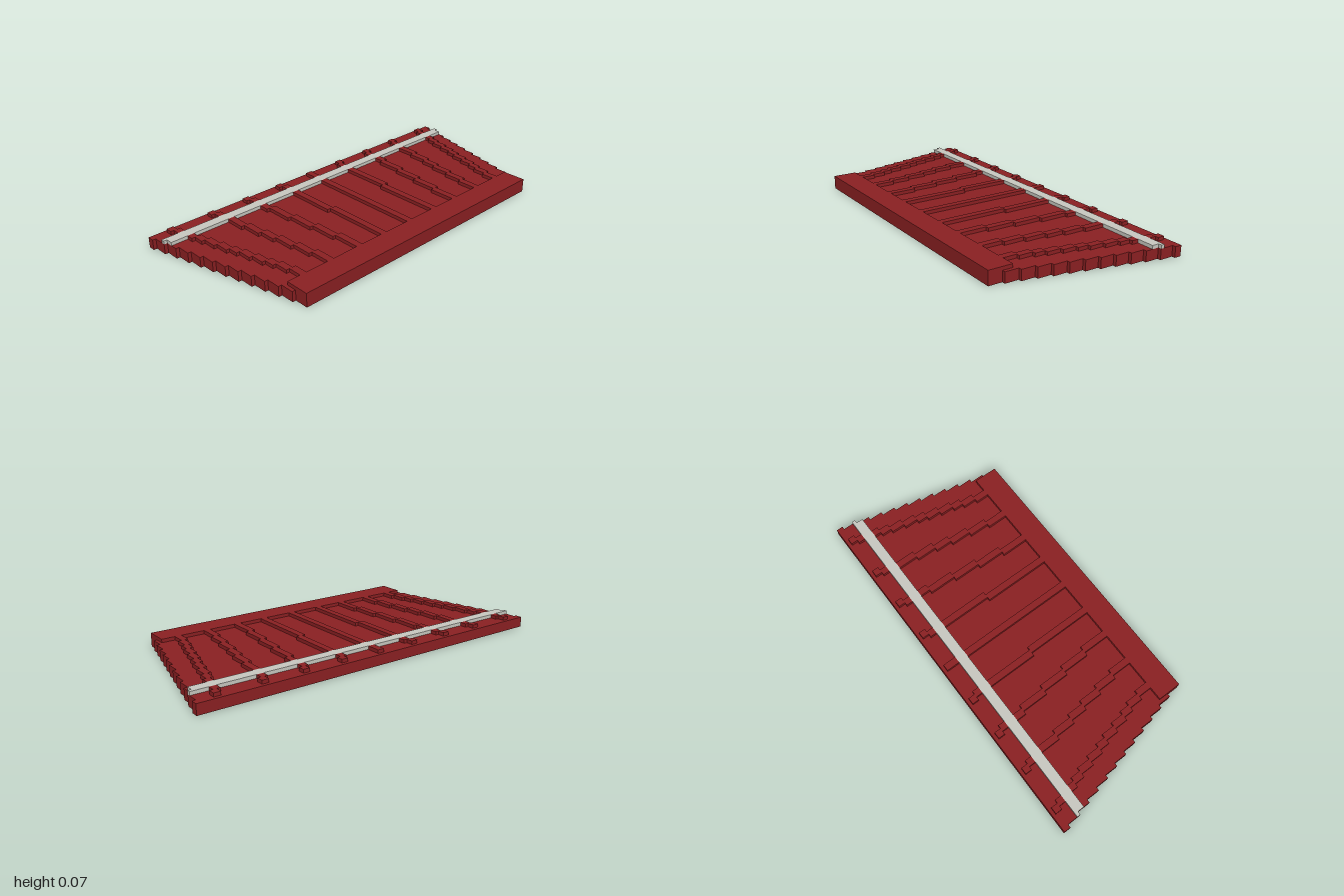
import * as THREE from 'three';
import { mergeGeometries } from 'three/addons/utils/BufferGeometryUtils.js';

const U = 2 / 110; // one block
const red = new THREE.MeshStandardMaterial({ color: 0x8b2022 });
red.name = 'dark red';
const silver = new THREE.MeshStandardMaterial({ color: 0xc8c8c0 });
silver.name = 'light grey';

// box from corner ranges given in blocks
function block(x0, x1, y0, y1, z0, z1) {
  const g = new THREE.BoxGeometry((x1 - x0) * U, (y1 - y0) * U, (z1 - z0) * U);
  return g.translate((x0 + x1) / 2 * U, (y0 + y1) / 2 * U, (z0 + z1) / 2 * U);
}

// flat plate between two z values whose sides follow the stepped outline
function steppedPlate(y0, y1, zFront, zBack) {
  const right = [];
  for (let i = 0; i < 13; i++) {
    const front = Math.min(zFront, 25 - 4 * i);
    const back = Math.max(zBack, 21 - 4 * i);
    if (front > back) right.push([43 + i, -front], [43 + i, -back]);
  }
  const left = right.map(([x, y]) => [-x, y]).reverse();
  const points = [...right, ...left].map(([x, y]) => new THREE.Vector2(x * U, y * U));
  const g = new THREE.ExtrudeGeometry(new THREE.Shape(points), { depth: (y1 - y0) * U, bevelEnabled: false });
  return g.rotateX(-Math.PI / 2).translate(0, y0 * U, 0);
}

// stepped rib running from the front lip to the back, broken by the grey strip
function rib(front, back, side) {
  const parts = [];
  const centre = (j) => front + Math.floor(j * (back - front) / 40 + 1e-6);
  let start = 0;
  for (let j = 1; j <= 42; j++) {
    if (j < 42 && j !== 35 && j !== 38 && centre(j) === centre(start)) continue;
    const x = side * centre(start);
    if (start < 35 || start >= 38) parts.push(block(x - 1, x + 1, 3, 4, 18 - j, 18 - start));
    start = j;
  }
  return mergeGeometries(parts);
}

export function createModel() {
  const group = new THREE.Group();
  const add = (name, geometry, material) => {
    const mesh = new THREE.Mesh(geometry, material);
    mesh.name = name;
    group.add(mesh);
  };

  add('baseSlab', steppedPlate(0, 3, 25, -25), red);
  add('frontLip', block(-43, 43, 3, 4, 18, 25), red);
  add('crossStrip', steppedPlate(3, 4, -17, -20), silver);

  // ribs fan out towards the back
  add('centreRib', rib(0, 0, 1), red);
  for (const [front, back] of [[10, 12], [19, 24], [29, 36], [38, 49]]) {
    add('leftRib', rib(front, back, 1), red);
    add('rightRib', rib(front, back, -1), red);
  }
  return group;
}
